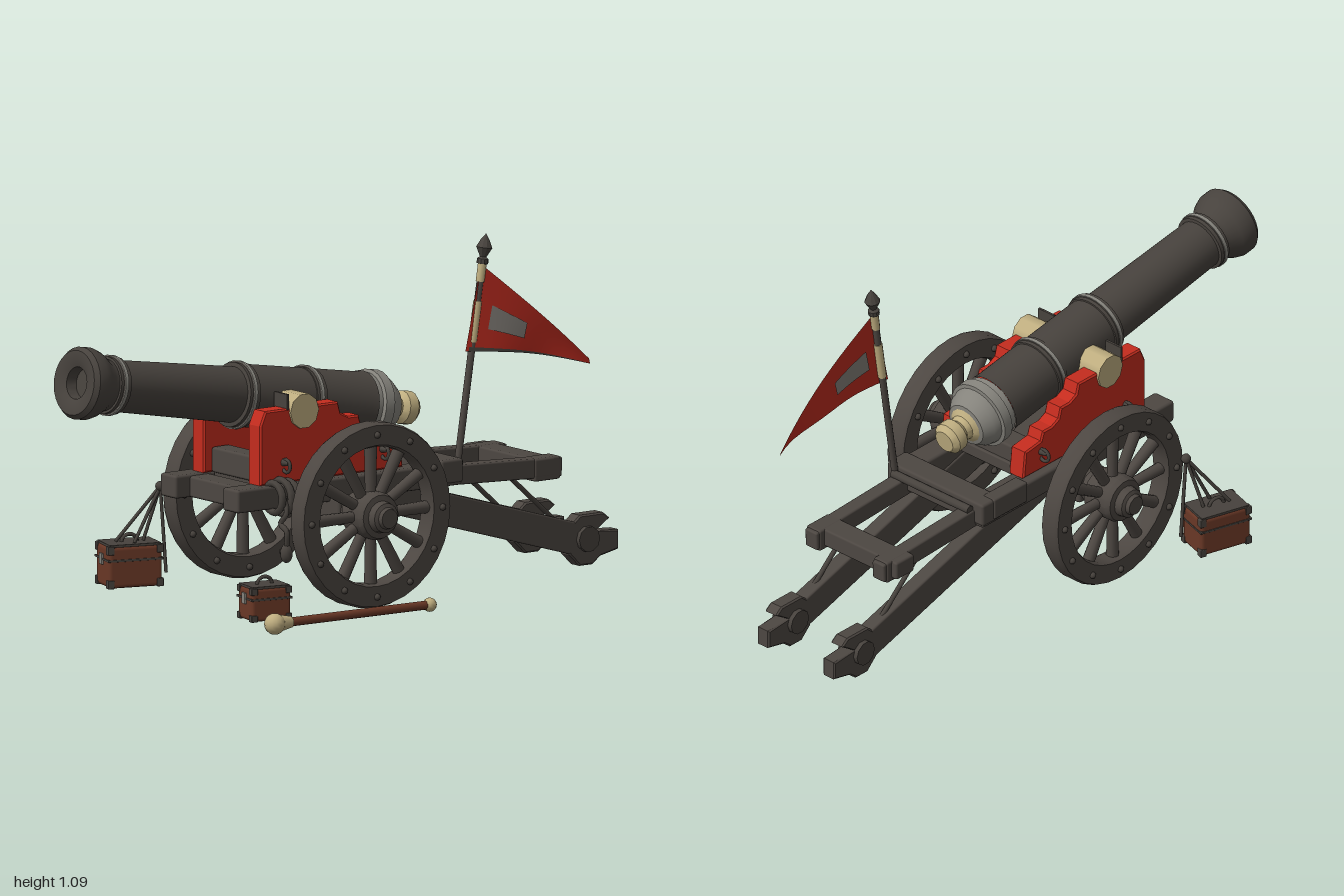
import * as THREE from 'three';
import { toCreasedNormals } from 'three/addons/utils/BufferGeometryUtils.js';
import { RoundedBoxGeometry } from 'three/addons/geometries/RoundedBoxGeometry.js';

const mat = (name, color, extra = {}) => new THREE.MeshStandardMaterial({ name, color, ...extra });

export function createModel() {
  const model = new THREE.Group();
  model.name = 'fieldCannon';
  const wood = mat('darkWood', 0x4d4742);
  const iron = mat('darkIron', 0x47423d);
  const worn = mat('wornMetal', 0x85837c);
  const red = mat('redPaint', 0xc42c1e);
  const cloth = mat('redCloth', 0xb82a1e, { side: THREE.DoubleSide });
  const cream = mat('brass', 0xbfae80);
  const leather = mat('brownLeather', 0x6a3826);
  const patchGrey = mat('fadedCloth', 0x827d77, { side: THREE.DoubleSide });
  const V = (x, y, z) => new THREE.Vector3(x, y, z);

  const add = (name, geo, material, pos = [0, 0, 0], parent = model) => {
    const m = new THREE.Mesh(geo, material);
    m.name = name;
    m.position.set(...pos);
    parent.add(m);
    return m;
  };
  const box = (name, w, h, d, material, pos, parent) =>
    add(name, new RoundedBoxGeometry(w, h, d, 1, Math.min(w, h, d) * 0.12), material, pos, parent);
  const lathe = (name, pts, material, parent, seg = 28) =>
    add(name, toCreasedNormals(new THREE.LatheGeometry(pts.map(p => new THREE.Vector2(...p)), seg), 0.5),
      material, [0, 0, 0], parent);
  // Straight round bar between two points
  const rod = (name, a, b, r, material, parent, r2 = r) => {
    const d = b.clone().sub(a);
    const m = add(name, new THREE.CylinderGeometry(r2, r, d.length(), 10), material,
      a.clone().lerp(b, 0.5).toArray(), parent);
    m.quaternion.setFromUnitVectors(V(0, 1, 0), d.normalize());
    return m;
  };
  // Beam along z between (z, y) end points, at side offset x
  const beam = (name, x, w, h, [z0, y0], [z1, y1], material) => {
    const m = box(name, w, h, Math.hypot(z1 - z0, y1 - y0), material, [x, (y0 + y1) / 2, (z0 + z1) / 2]);
    m.rotation.x = Math.atan2(y1 - y0, z0 - z1);
    return m;
  };
  // Side profile of [z, y] points given thickness across x
  const plate = (name, pts, x, w, material) => {
    const g = new THREE.ExtrudeGeometry(new THREE.Shape(pts.map(([z, y]) => new THREE.Vector2(-z, y))), {
      depth: w - 0.01, bevelThickness: 0.005, bevelSize: 0.005, bevelOffset: -0.005, bevelSegments: 1 });
    g.translate(0, 0, -(w - 0.01) / 2).rotateY(Math.PI / 2);
    return add(name, g, material, [x, 0, 0]);
  };

  // Barrel, turned along its own axis and tilted up towards the muzzle
  const barrel = new THREE.Group();
  barrel.name = 'barrel';
  barrel.position.set(0, 0.595, 0);
  barrel.rotation.x = Math.PI / 2 - 0.17;
  model.add(barrel);
  lathe('breechKnob', [[0, -0.335], [0.036, -0.335], [0.052, -0.318], [0.052, -0.285], [0.036, -0.268],
    [0.042, -0.25], [0.058, -0.238]], cream, barrel, 14);
  lathe('breech', [[0.055, -0.238], [0.07, -0.235], [0.092, -0.205], [0.098, -0.18], [0.11, -0.178],
    [0.11, -0.145], [0.1, -0.14], [0.1, -0.12]], worn, barrel);
  lathe('barrelBody', [[0.104, -0.122], [0.1, -0.1], [0.099, 0.1], [0.097, 0.36], [0.087, 0.37], [0.08, 0.83],
    [0.08, 0.87], [0.084, 0.89], [0.103, 0.92], [0.112, 0.945], [0.112, 0.975], [0.1, 0.99], [0.075, 0.99],
    [0.05, 0.98], [0.046, 0.945], [0, 0.945]], iron, barrel);
  for (const [t, r] of [[0.1, 0.106], [0.36, 0.104], [0.855, 0.092]]) {
    lathe('barrelRing', [[r - 0.012, t - 0.022], [r - 0.002, t - 0.02], [r - 0.002, t - 0.008], [r, t - 0.006],
      [r, t + 0.006], [r - 0.004, t + 0.008], [r - 0.004, t + 0.018], [r - 0.02, t + 0.02]], iron, barrel);
    lathe('wornBand', [[r - 0.01, t - 0.007], [r + 0.002, t - 0.006], [r + 0.002, t + 0.006], [r - 0.01, t + 0.007]],
      worn, barrel);
  }

  for (const s of [-1, 1]) {
    // Stepped cheeks holding the trunnions
    plate('cheek', [[0.39, 0.4], [0.39, 0.585], [0.37, 0.63], [0.09, 0.63], [0.08, 0.595], [0.05, 0.58],
      [0.01, 0.58], [0, 0.545], [-0.03, 0.53], [-0.07, 0.53], [-0.08, 0.5], [-0.15, 0.49], [-0.16, 0.4]],
    s * 0.142, 0.062, red);
    rod('trunnion', V(s * 0.08, 0.617, 0.225), V(s * 0.18, 0.617, 0.225), 0.055, cream);
    box('capPlate', 0.066, 0.05, 0.008, iron, [s * 0.14, 0.65, 0.284]);
    for (const z of [0.3, -0.08]) {
      rod('cheekBolt', V(s * 0.165, 0.465, z), V(s * 0.2, 0.465, z), 0.014, iron, model, 0.007);
      add('cheekRing', new THREE.TorusGeometry(0.02, 0.006, 6, 12), iron, [s * 0.185, 0.455, z]);
    }

    // Upper frame rails and sloping trail legs
    beam('frontRail', s * 0.157, 0.08, 0.072, [0.495, 0.365], [-0.37, 0.36], wood);
    beam('rearRail', s * 0.14, 0.05, 0.062, [-0.34, 0.35], [-0.78, 0.33], wood);
    box('railEnd', 0.058, 0.072, 0.1, wood, [s * 0.14, 0.33, -0.72]);
    beam('trailLeg', s * 0.137, 0.05, 0.1, [0.14, 0.385], [-0.88, 0.085], wood);
    plate('trailFoot', [[-0.79, 0.12], [-0.85, 0.17], [-0.94, 0.17], [-0.965, 0.15], [-0.91, 0.115], [-1, 0.11],
      [-1, 0.05], [-0.93, 0.035], [-0.9, 0.012], [-0.85, 0.012], [-0.81, 0.05]], s * 0.137, 0.05, wood);
    rod('footPin', V(s * 0.097, 0.095, -0.875), V(s * 0.177, 0.095, -0.875), 0.04, iron);
    rod('trailBrace', V(s * 0.14, 0.31, -0.6), V(s * 0.14, 0.15, -0.78), 0.008, iron);

    // Spoked wheels
    const wheel = new THREE.Group();
    wheel.name = 'wheel';
    wheel.position.set(s * 0.322, 0.3, 0.08);
    wheel.rotation.z = -s * Math.PI / 2;
    model.add(wheel);
    lathe('rim', [[0.282, -0.033], [0.288, -0.02], [0.288, 0.02], [0.282, 0.033], [0.22, 0.033], [0.214, 0.02],
      [0.214, -0.02], [0.22, -0.033], [0.282, -0.033]], wood, wheel, 32);
    lathe('hub', [[0, -0.085], [0.052, -0.085], [0.056, -0.06], [0.07, -0.055], [0.075, -0.03], [0.075, 0.035],
      [0.068, 0.052], [0.05, 0.055], [0.046, 0.08], [0.034, 0.085], [0.03, 0.098], [0, 0.098]], wood, wheel, 18);
    for (let i = 0; i < 12; i++) {
      const a = i * Math.PI / 6, c = Math.cos(a), n = Math.sin(a);
      rod('spoke', V(c * 0.06, 0, n * 0.06), V(c * 0.225, 0, n * 0.225), 0.017, wood, wheel, 0.02);
      for (const y of [-0.034, 0.034])
        add('rimStud', new THREE.SphereGeometry(0.011, 8, 6), iron, [c * 0.252, y, n * 0.252], wheel);
    }
  }

  // Axle and cross beams
  box('axle', 0.48, 0.085, 0.12, wood, [0, 0.3, 0.08]);
  box('axleKeel', 0.045, 0.04, 0.08, iron, [0, 0.25, 0.08]);
  box('frontCrossBeam', 0.3, 0.066, 0.08, wood, [0, 0.362, 0.4]);
  box('cheekCrossBeam', 0.22, 0.08, 0.07, wood, [0, 0.44, 0.33]);
  box('bed', 0.23, 0.04, 0.5, wood, [0, 0.405, 0.1]);
  box('breechRest', 0.22, 0.07, 0.08, wood, [0, 0.445, -0.1]);
  box('middleCrossBeam', 0.4, 0.075, 0.085, wood, [0, 0.37, -0.33]);
  box('sideBlock', 0.05, 0.07, 0.15, wood, [-0.18, 0.375, -0.25]);
  rod('crossRod', V(-0.16, 0.385, -0.387), V(0.16, 0.385, -0.387), 0.014, iron);
  box('rearCrossBeam', 0.36, 0.06, 0.08, wood, [-0.01, 0.335, -0.71]);

  // Flag pole with brass sleeves and spear tip
  const base = V(0.16, 0.34, -0.372), top = V(0.158, 1.01, -0.478);
  const onPole = y => base.clone().lerp(top, (y - base.y) / (top.y - base.y));
  rod('flagPole', base, top, 0.011, wood);
  rod('poleSleeve', onPole(0.755), onPole(0.88), 0.0135, cream);
  rod('poleSleeve', onPole(0.94), onPole(1), 0.0135, cream);
  const tip = new THREE.Group();
  tip.name = 'spearTip';
  tip.position.copy(top);
  tip.rotation.x = -0.157;
  model.add(tip);
  lathe('spearHead', [[0, -0.018], [0.018, -0.015], [0.018, 0], [0.01, 0.006], [0.025, 0.035], [0.014, 0.058],
    [0, 0.078]], iron, tip, 10);

  // Tapering pennant that sways sideways; u runs to the tip, v from lower to upper edge
  const pennant = (u0, u1, v0, v1, offset) => {
    const g = new THREE.PlaneGeometry(1, 1, 12, 6), p = g.attributes.position;
    for (let i = 0; i < p.count; i++) {
      const u = u0 + (p.getX(i) + 0.5) * (u1 - u0), v = v0 + (p.getY(i) + 0.5) * (v1 - v0);
      const low = 0.73 - 0.085 * u + 0.015 * Math.sin(u * Math.PI), high = 0.995 - 0.335 * u;
      const root = -0.407 - 0.06 * v;
      p.setXYZ(i, 0.163 + 0.035 * Math.sin(u * 2.4) + offset + 0.012 * Math.sin(u * 9) * (1 - v) * u,
        low + (high - low) * v, root + (-0.865 - root) * u);
    }
    g.computeVertexNormals();
    return g;
  };
  add('pennant', pennant(0, 1, 0, 1, 0), cloth);
  for (const o of [-0.004, 0.004]) {
    add('fadedPatch', pennant(0.13, 0.42, 0.3, 0.62, o), patchGrey);
    add('pennantHem', pennant(0.02, 1, 0, 0.05, o / 2), iron);
  }

  // Travelling cases with dark lids, corner straps and handles
  const travelCase = (x, z, w, h, d, turn) => {
    const g = new THREE.Group();
    g.name = 'case';
    g.position.set(x, 0.013, z);
    g.rotation.y = turn;
    model.add(g);
    box('caseBody', w, h, d, leather, [0, h / 2, 0], g);
    box('caseLid', w * 0.94, 0.008, d * 0.94, iron, [0, h, 0], g);
    box('lidSeam', w + 0.004, 0.007, d + 0.004, iron, [0, h * 0.66, 0], g);
    for (const sx of [-1, 1]) for (const sz of [-1, 1])
      for (const y of [0.1, 0.9])
        box('caseCorner', 0.022, h * 0.2, 0.022, iron, [sx * (w / 2 - 0.009), h * y, sz * (d / 2 - 0.009)], g);
    box('caseClasp', 0.024, 0.034, 0.008, worn, [0, h * 0.66, d / 2 + 0.002], g);
    const handle = add('caseHandle', new THREE.TorusGeometry(0.026, 0.006, 6, 12, Math.PI), iron, [0, h, 0], g);
    handle.rotation.y = Math.PI / 2;
  };
  travelCase(-0.423, 0.44, 0.118, 0.132, 0.178, -0.3);
  travelCase(0.285, 0.46, 0.102, 0.105, 0.135, -0.2);

  // Cords from the large case to the wheel
  const hook = V(-0.365, 0.32, 0.365);
  for (const [x, y, z] of [[-0.405, 0.15, 0.4], [-0.44, 0.15, 0.48], [-0.385, 0.15, 0.45], [-0.362, 0.05, 0.345]])
    rod('caseCord', hook, V(x, y, z), 0.0055, iron);
  add('cordKnot', new THREE.SphereGeometry(0.016, 8, 6), iron, hook.toArray());

  // Rope coil and hanging tackle on the left rail
  for (const [r, z] of [[0.045, 0.3], [0.052, 0.33], [0.045, 0.36]])
    add('ropeCoil', new THREE.TorusGeometry(r, 0.012, 6, 18), iron, [0.2, 0.365, z]);
  const path = new THREE.CatmullRomCurve3([V(0.23, 0.37, 0.34), V(0.25, 0.32, 0.35), V(0.235, 0.29, 0.36),
    V(0.265, 0.27, 0.36), V(0.26, 0.22, 0.355)]);
  add('hangingRope', new THREE.TubeGeometry(path, 20, 0.009, 6), iron);
  add('tackleBlock', new THREE.SphereGeometry(0.02, 10, 8), iron, [0.258, 0.2, 0.355]).scale.set(1, 1.5, 1);

  // Rammer lying on the ground
  rod('rammerShaft', V(0.479, 0.03, -0.03), V(0.468, 0.034, 0.55), 0.014, leather);
  rod('rammerCollar', V(0.47, 0.034, 0.5), V(0.469, 0.034, 0.54), 0.018, cream, model, 0.026);
  add('rammerHead', new THREE.SphereGeometry(0.033, 14, 10), cream, [0.468, 0.034, 0.56]);
  add('rammerButt', new THREE.SphereGeometry(0.022, 12, 8), cream, [0.479, 0.03, -0.028]);
  return model;
}
